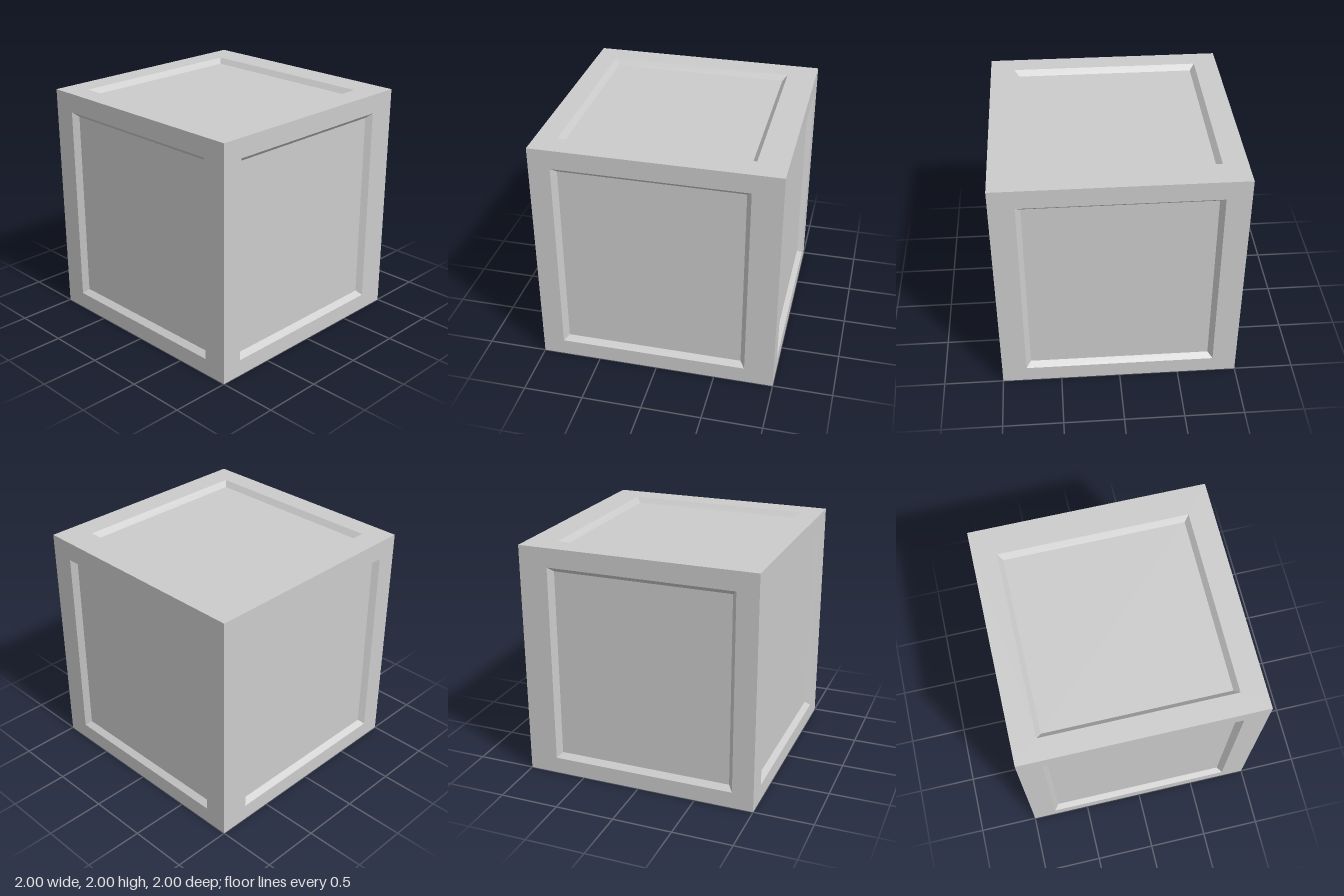
import * as THREE from 'three';

// Extents per axis (x, y, z): whole block, and the recess opening
const BLOCK = [[-1, 1], [0, 2], [-1, 1]];
const OPENING = [[-0.82, 0.755], [0.14, 1.84], [-0.8, 0.795]];
const INSET = 0.04; // how far the recess walls slope inward
const DEPTH = 0.045; // how deep each panel is sunk

const material = new THREE.MeshStandardMaterial({ color: 0xcccccc, flatShading: true });

// Four corners of a rectangle on one side, counter-clockwise from outside
function rectangle(axis, side, extents, inset, depth) {
  const a = (axis + 1) % 3, b = (axis + 2) % 3;
  const corners = [[0, 0], [1, 0], [1, 1], [0, 1]].map(([i, j]) => {
    const p = [0, 0, 0];
    p[axis] = BLOCK[axis][side] + (side ? -depth : depth);
    p[a] = extents[a][i] + (i ? -inset : inset);
    p[b] = extents[b][j] + (j ? -inset : inset);
    return p;
  });
  return side ? corners : corners.reverse();
}

function quadMesh(name, quads) {
  const positions = quads.flatMap(([p, q, r, s]) => [p, q, r, p, r, s]).flat();
  const geometry = new THREE.BufferGeometry();
  geometry.setAttribute('position', new THREE.Float32BufferAttribute(positions, 3));
  geometry.computeVertexNormals();
  const mesh = new THREE.Mesh(geometry, material);
  mesh.name = name;
  return mesh;
}

// Band of four quads joining an outer rectangle to an inner one
function band(outer, inner) {
  return outer.map((p, i) => {
    const next = (i + 1) % 4;
    return [p, outer[next], inner[next], inner[i]];
  });
}

export function createModel() {
  const model = new THREE.Group();
  model.name = 'panelledCube';
  const sideNames = [['left', 'right'], ['bottom', 'top'], ['back', 'front']];
  sideNames[0] = ['rightSide', 'leftSide']; // the model's own left is +x

  // Each side: flat frame, sloping recess walls, sunken panel
  sideNames.forEach((names, axis) => names.forEach((name, side) => {
    const edge = rectangle(axis, side, BLOCK, 0, 0);
    const opening = rectangle(axis, side, OPENING, 0, 0);
    const floor = rectangle(axis, side, OPENING, INSET, DEPTH);
    const group = new THREE.Group();
    group.name = name;
    group.add(
      quadMesh('frame', band(edge, opening)),
      quadMesh('recessWalls', band(opening, floor)),
      quadMesh('panel', [floor]),
    );
    model.add(group);
  }));
  return model;
}
